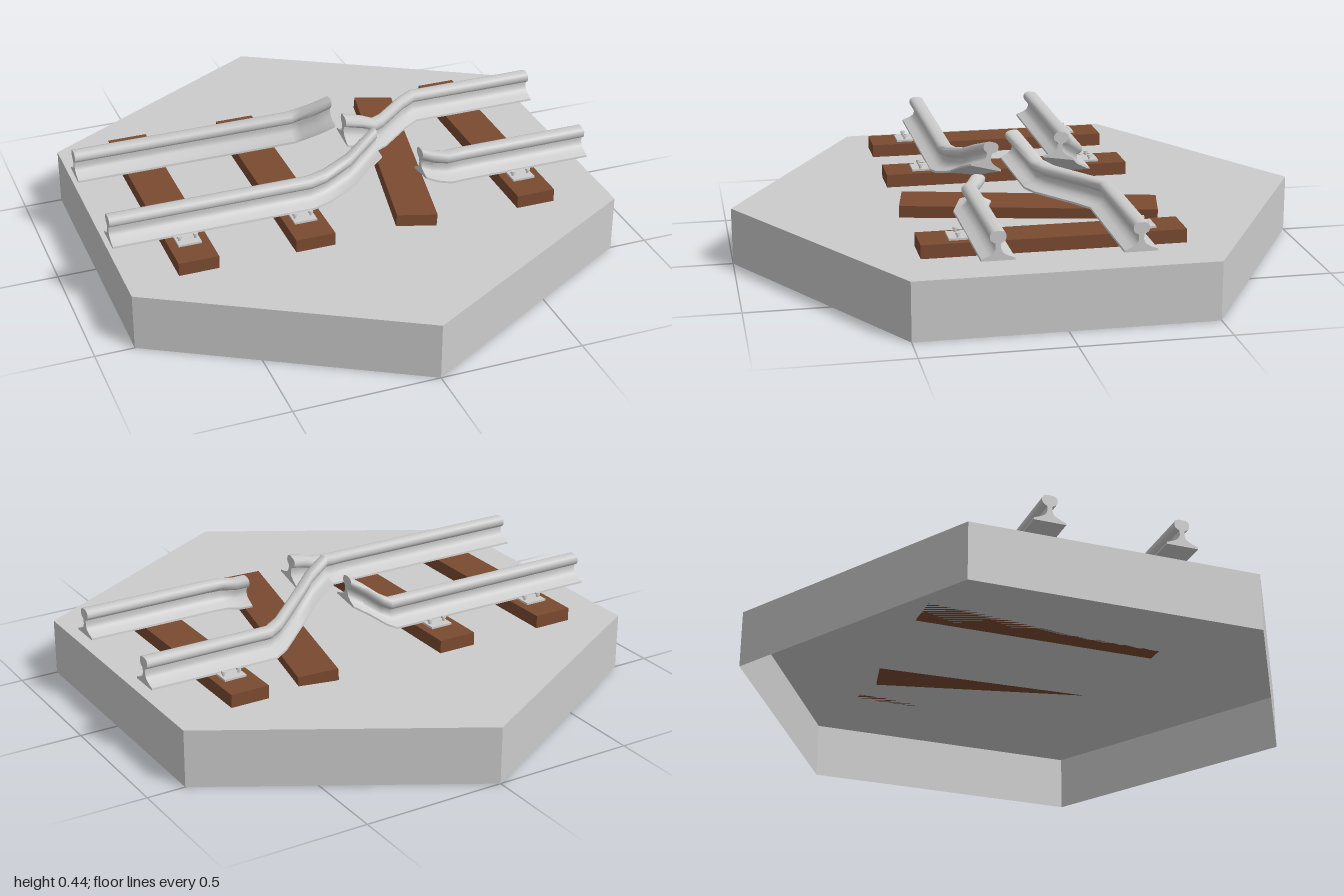
import * as THREE from 'three';
import { toCreasedNormals } from 'three/addons/utils/BufferGeometryUtils.js';

const grey = new THREE.MeshStandardMaterial({ color: 0xcccccc });
const baseGrey = new THREE.MeshStandardMaterial({ color: 0xcccccc, flatShading: true, side: THREE.DoubleSide });
const wood = new THREE.MeshStandardMaterial({ color: 0x7a4a30 });

// Half of the rail cross-section as [z, y], foot to head
const half = [
  [0.055, 0], [0.054, 0.007], [0.03, 0.016], [0.014, 0.026], [0.008, 0.04], [0.009, 0.056],
  [0.022, 0.064], [0.026, 0.072], [0.026, 0.084], [0.021, 0.092], [0.01, 0.096],
];
const profile = [...half, ...half.slice().reverse().map(([z, y]) => [-z, y])]
  .map(([z, y]) => new THREE.Vector2(z, y));

// Rail through stations [x, foot y, centre z, roll]; every section stays in a plane of constant x
function railGeometry(stations) {
  const n = profile.length;
  const positions = [];
  const index = [];
  for (const [x, y, z, roll = 0] of stations) {
    const c = Math.cos(roll), s = Math.sin(roll);
    for (const p of profile) {
      const h = p.y - 0.045;
      positions.push(x, y + 0.045 + h * c + p.x * s, z + p.x * c - h * s);
    }
  }
  for (let i = 0; i < stations.length - 1; i++) {
    for (let j = 0; j < n; j++) {
      const a = i * n + j, b = i * n + (j + 1) % n;
      index.push(a, a + n, b + n, a, b + n, b);
    }
  }
  const last = (stations.length - 1) * n;
  for (const [a, b, c] of THREE.ShapeUtils.triangulateShape(profile, [])) {
    index.push(a, b, c, last + a, last + c, last + b);
  }
  const geometry = new THREE.BufferGeometry();
  geometry.setAttribute('position', new THREE.Float32BufferAttribute(positions, 3));
  geometry.setIndex(index);
  return toCreasedNormals(geometry, 0.85);
}

function add(parent, name, geometry, material, x = 0, y = 0, z = 0) {
  const mesh = new THREE.Mesh(geometry, material);
  mesh.name = name;
  mesh.position.set(x, y, z);
  parent.add(mesh);
  return mesh;
}

// Fastening plate with two bolts, lying outside a rail
function railClip(side) {
  const clip = new THREE.Group();
  clip.name = 'railClip';
  add(clip, 'clipPlate', new THREE.BoxGeometry(0.08, 0.008, 0.07), grey, 0, 0.004, 0);
  for (const x of [-0.028, 0.028]) {
    add(clip, 'boltShank', new THREE.CylinderGeometry(0.005, 0.005, 0.02, 8), grey, x, 0.014, side * 0.004);
    add(clip, 'boltHead', new THREE.CylinderGeometry(0.008, 0.009, 0.007, 8), grey, x, 0.021, side * 0.004);
  }
  return clip;
}

export function createModel() {
  const model = new THREE.Group();
  model.name = 'brokenTrackTile';

  // Hexagonal ground tile, open underneath
  const base = new THREE.Group();
  base.name = 'base';
  model.add(base);
  add(base, 'baseWalls', new THREE.CylinderGeometry(1, 1, 0.2, 6, 1, true), baseGrey, 0, 0.1, 0);
  add(base, 'baseTop', new THREE.CircleGeometry(1, 6, Math.PI / 2).rotateX(-Math.PI / 2), baseGrey, 0, 0.2, 0);

  // Straight sleepers with clips on the outer sides of the rails
  for (const x of [-0.62, -0.215, 0.592]) {
    add(model, 'sleeper', new THREE.BoxGeometry(0.138, 0.046, 0.876), wood, x, 0.223, 0);
    for (const side of [-1, 1]) {
      const clip = railClip(side);
      clip.position.set(x, 0.245, side * 0.307);
      model.add(clip);
    }
  }

  // Loose sleeper, turned and partly sunk into the ground
  const loose = add(model, 'looseSleeper', new THREE.BoxGeometry(0.14, 0.042, 0.876), wood, 0.24, 0.222, 0.003);
  loose.rotation.set(-0.0115, -0.206, -0.07, 'YXZ');

  // Four rail pieces, bent up and aside around the break
  const rails = {
    backRightRail: [
      [-0.866, 0.25, -0.23], [-0.07, 0.25, -0.23], [-0.04, 0.265, -0.215, 0.05],
      [0.005, 0.3, -0.172, 0.12], [0.052, 0.33, -0.148, 0.15],
    ],
    frontRightRail: [
      [-0.866, 0.25, 0.226], [-0.16, 0.25, 0.226], [-0.1, 0.255, 0.213, 0.04],
      [0, 0.278, 0.18, 0.14], [0.06, 0.305, 0.15, 0.2], [0.122, 0.328, 0.118, 0.25],
    ],
    backLeftRail: [
      [0.042, 0.345, 0.014, -0.15], [0.12, 0.31, -0.014, -0.12], [0.18, 0.272, -0.044, -0.08],
      [0.22, 0.262, -0.075, -0.04], [0.345, 0.252, -0.19], [0.405, 0.25, -0.23], [0.866, 0.25, -0.23],
    ],
    frontLeftRail: [
      [0.264, 0.257, 0.187, 0.12], [0.3, 0.248, 0.206, 0.08], [0.345, 0.248, 0.226], [0.4, 0.25, 0.226], [0.866, 0.25, 0.226],
    ],
  };
  for (const [name, stations] of Object.entries(rails)) add(model, name, railGeometry(stations), grey);

  return model;
}
